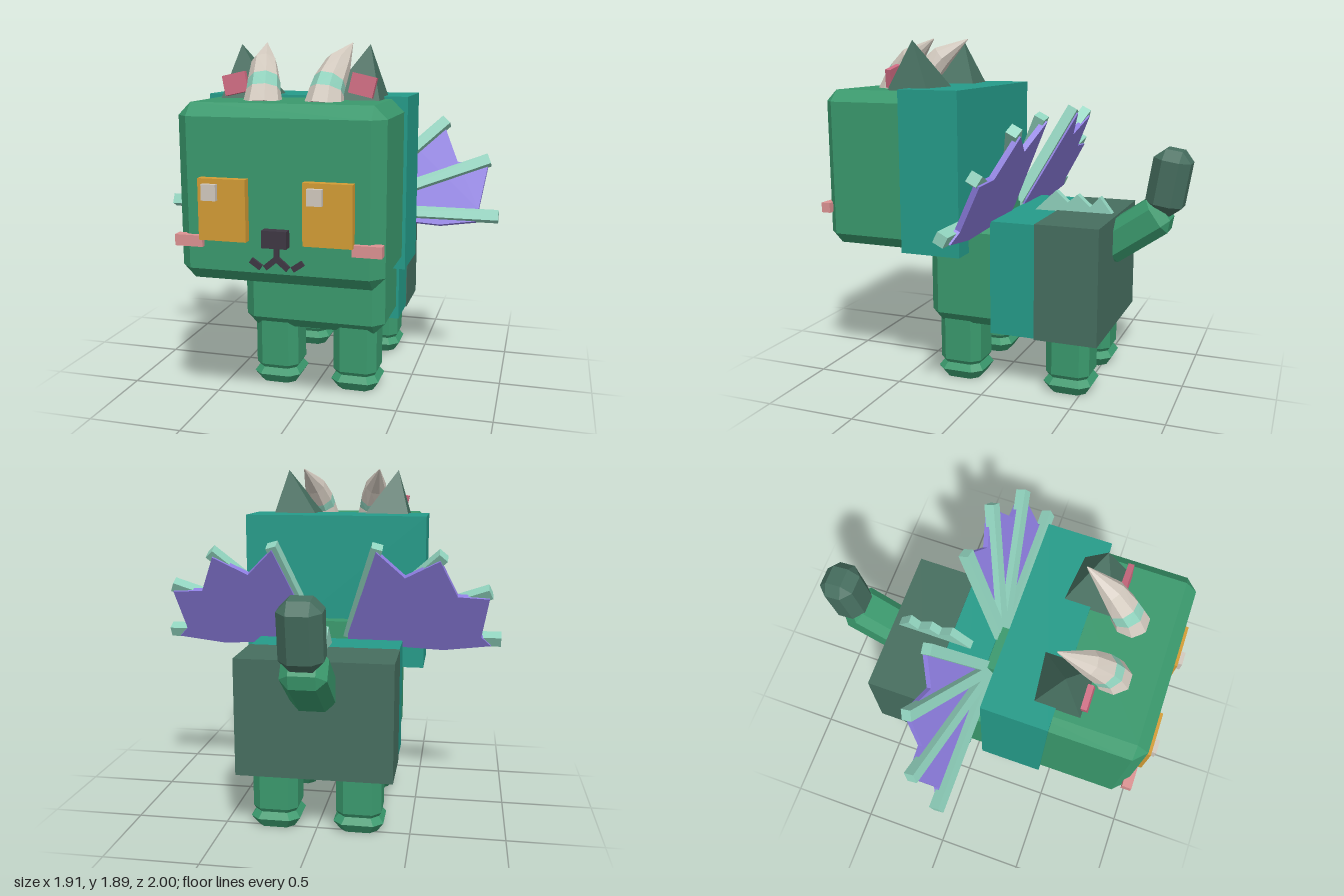
import * as THREE from 'three';
import { ConvexGeometry } from 'three/addons/geometries/ConvexGeometry.js';

const V = (x, y, z) => new THREE.Vector3(x, y, z);
const mat = (name, color) => {
  const m = new THREE.MeshStandardMaterial({ color });
  m.name = name;
  return m;
};

// Box with every edge bevelled by c
function bevelBox(w, h, d, c) {
  const pts = [];
  const [x, y, z] = [w / 2, h / 2, d / 2];
  for (const i of [-1, 1]) for (const j of [-1, 1]) for (const k of [-1, 1]) {
    pts.push(V(i * x, j * (y - c), k * (z - c)), V(i * (x - c), j * y, k * (z - c)), V(i * (x - c), j * (y - c), k * z));
  }
  return new ConvexGeometry(pts);
}

// Corner-cut square section of half width r at height y
function cutSquare(r, y) {
  const q = r * 0.63, out = [];
  for (const i of [-1, 1]) for (const j of [-1, 1]) out.push(V(i * r, y, j * q), V(i * q, y, j * r));
  return out;
}

// Eight-sided ring around centre p, facing along t
function ring(p, t, r) {
  const u = V(1, 0, 0).addScaledVector(t, -t.x).normalize();
  const v = t.clone().cross(u);
  return Array.from({ length: 8 }, (_, i) => {
    const a = (i + 0.5) * Math.PI / 4;
    return p.clone().addScaledVector(u, r * Math.cos(a)).addScaledVector(v, r * Math.sin(a));
  });
}

export function createModel() {
  const green = mat('green', 0x3a996d);
  const teal = mat('teal', 0x259b89);
  const dark = mat('dark green', 0x466e5f);
  const mint = mat('mint', 0x90d2bd);
  const purple = mat('purple', 0x8d7de0);
  const orange = mat('orange', 0xd39c35);
  const rose = mat('rose', 0xcc6a80);
  const blush = mat('blush', 0xdc9292);
  const cream = mat('cream', 0xd2c9be);
  const black = mat('near black', 0x3e3743);

  const model = new THREE.Group();
  const add = (name, geo, m, x = 0, y = 0, z = 0, parent = model) => {
    const mesh = new THREE.Mesh(geo, m);
    mesh.name = name;
    mesh.position.set(x, y, z);
    parent.add(mesh);
    return mesh;
  };
  const box = (name, m, w, h, d, x, y, z, parent) => add(name, new THREE.BoxGeometry(w, h, d), m, x, y, z, parent);

  // Body
  add('body', bevelBox(0.79, 0.59, 0.9, 0.06), green, 0, 0.635, -0.09);
  box('bodyBand', teal, 0.82, 0.62, 0.26, 0, 0.635, -0.15);
  box('rump', dark, 0.83, 0.63, 0.345, 0, 0.635, -0.4425);
  box('wingMount', green, 0.26, 0.12, 0.085, 0, 0.98, 0.042);

  // Head
  add('head', bevelBox(1.01, 0.855, 0.78, 0.062), green, 0, 1.192, 0.54);
  box('headBand', teal, 1.045, 0.875, 0.34, 0, 1.195, 0.28);

  // Face
  for (const s of [-1, 1]) {
    box('eye', orange, 0.235, 0.295, 0.06, s * 0.255, 1.128, 0.945);
    box('eyeGlint', cream, 0.072, 0.077, 0.04, s * 0.255 - 0.055, 1.213, 0.98);
    box('cheek', blush, 0.14, 0.055, 0.052, s * 0.435, 0.968, 0.93);
    box('mouthInner', black, 0.075, 0.028, 0.03, s * 0.028, 0.88, 0.93).rotation.z = -s * 0.7;
    const corner = box('mouthCorner', black, 0.06, 0.028, 0.03, s * 0.103, 0.873, 0.93);
    corner.rotation.z = s * 0.6;
  }
  box('nose', black, 0.122, 0.083, 0.06, 0, 1.002, 0.948);
  box('mouthStem', black, 0.024, 0.085, 0.03, 0, 0.925, 0.93);

  // Ears and horns
  const hornPath = [[0.155, 1.59, 0.66, 0.1], [0.16, 1.665, 0.632, 0.084], [0.168, 1.71, 0.6, 0.08],
    [0.19, 1.79, 0.53, 0.065], [0.226, 1.89, 0.38, 0.003]];
  for (const s of [-1, 1]) {
    const base = [[0.13, 0.3], [0.41, 0.33], [0.41, 0.58], [0.13, 0.58]].map(([x, z]) => V(s * x, 1.605, z));
    add('ear', new ConvexGeometry([...base, V(s * 0.334, 1.885, 0.455)]), dark);
    box('innerEar', rose, 0.122, 0.1, 0.03, s * 0.325, 1.692, 0.578).rotation.set(-0.1, 0, -s * 0.22);

    const centres = hornPath.map(([x, y, z]) => V(s * x, y, z));
    const rings = hornPath.map((p, i) => {
      const t = centres[Math.min(i + 1, 4)].clone().sub(centres[Math.max(i - 1, 0)]).normalize();
      return ring(centres[i], t, p[3]);
    });
    for (let i = 0; i < 4; i++) {
      add(i === 1 ? 'hornBand' : 'horn', new ConvexGeometry([...rings[i], ...rings[i + 1]]), i === 1 ? mint : cream);
    }
  }

  // Legs and feet
  const legGeo = new ConvexGeometry([...cutSquare(0.1, 0.075), ...cutSquare(0.122, 0.11), ...cutSquare(0.122, 0.4)]);
  const footGeo = new ConvexGeometry([...cutSquare(0.1, 0), ...cutSquare(0.134, 0.053), ...cutSquare(0.1, 0.1)]);
  for (const s of [-1, 1]) for (const [end, z] of [['front', 0.205], ['back', -0.425]]) {
    add(end + 'Leg', legGeo, green, s * 0.225, 0, z);
    add(end + 'Foot', footGeo, green, s * 0.225, 0, z);
  }

  // Tail
  add('tailBase', bevelBox(0.235, 0.21, 0.42, 0.05), green, 0, 0.872, -0.705).rotation.x = 0.61;
  add('tailTip', bevelBox(0.22, 0.35, 0.2, 0.055), dark, 0, 1.147, -0.887).rotation.x = -0.16;

  // Zigzag crest along the back
  const crest = new THREE.Shape([[0.134, 0.94], [0.26, 1.06], [0.33, 0.998], [0.385, 1.045], [0.46, 0.98],
    [0.513, 1.04], [0.59, 0.94]].map(([z, y]) => new THREE.Vector2(z, y)));
  const crestGeo = new THREE.ExtrudeGeometry(crest, { depth: 0.05, bevelEnabled: false });
  add('backCrest', crestGeo.translate(0, 0, -0.025), mint).rotation.y = Math.PI / 2;

  // Wings: four rods fanning out with a membrane behind them
  const fingers = [[0, 0.855], [0.39, 0.85], [0.8, 0.765], [1.27, 0.625]];
  const web = [[0, -0.03], [0.54, -0.06], [0.8, -0.02], [0.745, 0.04], [0.78, 0.3], [0.61, 0.31],
    [0.515, 0.535], [0.33, 0.425], [0.18, 0.585], [0, 0.03]];
  for (const s of [-1, 1]) {
    const wing = new THREE.Group();
    wing.name = s > 0 ? 'leftWing' : 'rightWing';
    wing.position.set(s * 0.1, 0.965, 0.007);
    wing.rotation.x = -0.47;
    for (const [a, len] of fingers) {
      const rod = box('wingRod', mint, len, 0.06, 0.06, s * Math.cos(a) * len / 2, Math.sin(a) * len / 2, 0, wing);
      rod.rotation.z = s * a;
    }
    const shape = new THREE.Shape(web.map(([x, y]) => new THREE.Vector2(s * x, y)));
    add('wingMembrane', new THREE.ExtrudeGeometry(shape, { depth: 0.03, bevelEnabled: false }), purple, 0, 0, -0.04, wing);
    model.add(wing);
  }
  return model;
}
